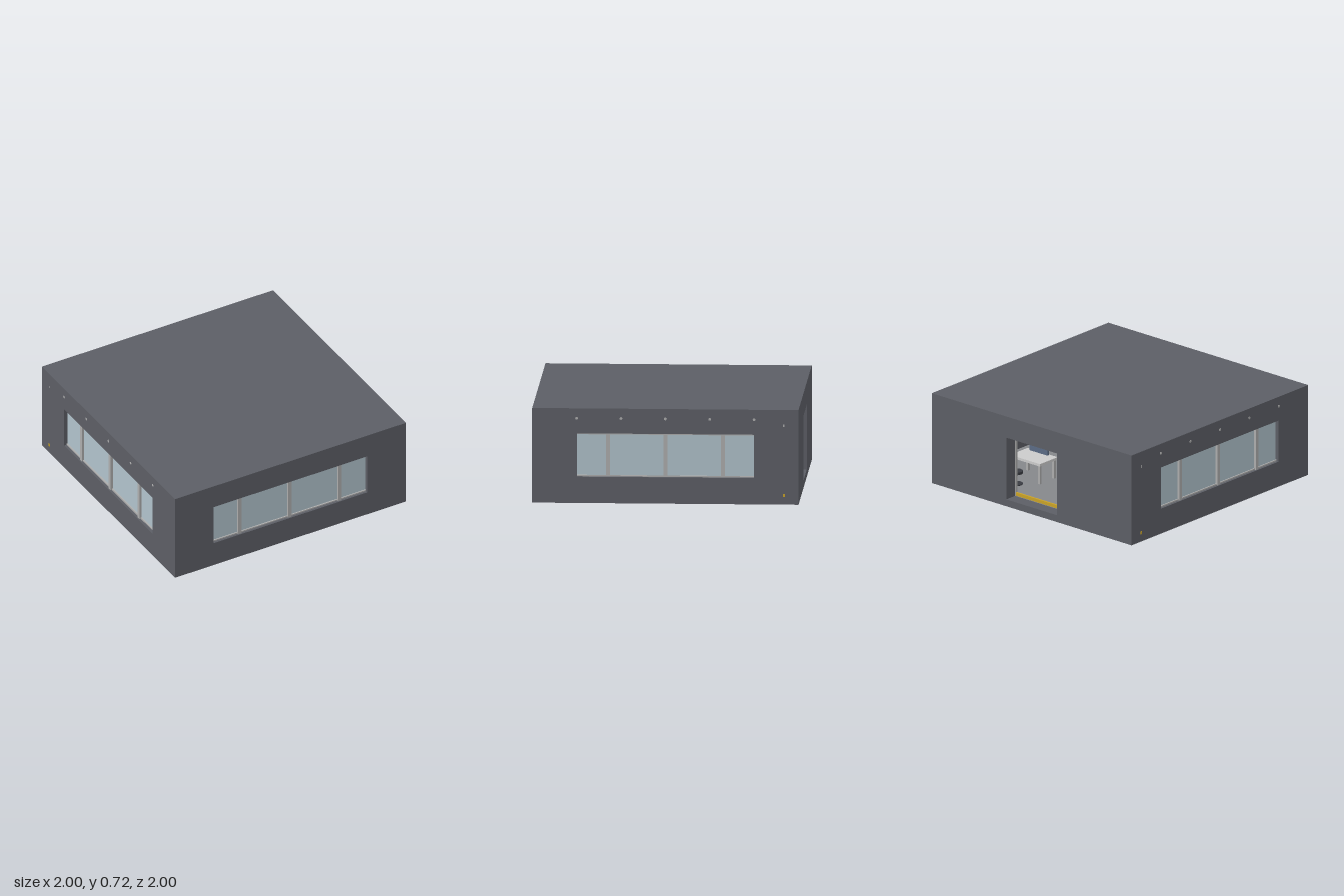
import * as THREE from 'three';

const mat = (color) => new THREE.MeshStandardMaterial({ color, flatShading: true });
const shellMat = mat(0x5c5e65), floorMat = mat(0x85878b), glassMat = mat(0xb0c2cb);
const trimMat = mat(0xadadad), yellowMat = mat(0xc9a227), blueMat = mat(0x5a6b85);
const darkMat = mat(0x3a3c42), lightMat = mat(0xd8d8d8);

function add(parent, name, geometry, material, x = 0, y = 0, z = 0) {
  const mesh = new THREE.Mesh(geometry, material);
  mesh.name = name;
  mesh.position.set(x, y, z);
  parent.add(mesh);
  return mesh;
}
const box = (parent, name, material, w, h, d, x, y, z) =>
  add(parent, name, new THREE.BoxGeometry(w, h, d), material, x, y, z);

function rect(PathType, x0, y0, x1, y1) {
  const p = new PathType();
  p.moveTo(x0, y0);
  p.lineTo(x1, y0);
  p.lineTo(x1, y1);
  p.lineTo(x0, y1);
  p.closePath();
  return p;
}

// Wall slab facing +z with one opening, its outer face at z = 1
function wall(parent, name, width, hole) {
  const shape = rect(THREE.Shape, -width / 2, 0.05, width / 2, 0.67);
  shape.holes.push(rect(THREE.Path, ...hole));
  const geometry = new THREE.ExtrudeGeometry(shape, { depth: 0.1, bevelEnabled: false });
  add(parent, name, geometry, shellMat, 0, 0, 0.9);
}

// Wall with a long window split by three mullions
function windowWall(width) {
  const g = new THREE.Group();
  g.name = 'windowWall';
  wall(g, 'wall', width, [-0.665, 0.2, 0.665, 0.53]);
  box(g, 'windowGlass', glassMat, 1.33, 0.33, 0.02, 0, 0.365, 0.96);
  for (const x of [-0.433, 0, 0.433]) box(g, 'mullion', trimMat, 0.03, 0.33, 0.05, x, 0.365, 0.965);
  for (const y of [0.205, 0.525]) box(g, 'windowRail', trimMat, 1.33, 0.01, 0.04, 0, y, 0.96);
  return g;
}

// Back wall with an open doorway and an inner frame
function doorWall() {
  const g = new THREE.Group();
  g.name = 'doorWall';
  wall(g, 'wall', 2, [-0.255, 0.055, 0.255, 0.55]);
  for (const s of [-1, 1]) box(g, 'doorPost', trimMat, 0.03, 0.5, 0.02, s * 0.265, 0.3, 0.89);
  box(g, 'doorHeader', trimMat, 0.56, 0.03, 0.02, 0, 0.56, 0.89);
  return g;
}

// Desk with a screen
function desk() {
  const g = new THREE.Group();
  g.name = 'desk';
  box(g, 'deskTop', lightMat, 0.3, 0.02, 0.2, 0, 0.21, 0);
  for (const x of [-0.13, 0.13])
    for (const z of [-0.08, 0.08]) box(g, 'deskLeg', trimMat, 0.02, 0.15, 0.02, x, 0.125, z);
  box(g, 'screen', blueMat, 0.18, 0.1, 0.015, 0, 0.28, 0.06);
  return g;
}

// Swivel chair
function chair() {
  const g = new THREE.Group();
  g.name = 'chair';
  add(g, 'chairBase', new THREE.CylinderGeometry(0.05, 0.05, 0.01, 16), darkMat, 0, 0.055, 0);
  add(g, 'chairStem', new THREE.CylinderGeometry(0.01, 0.01, 0.09, 10), trimMat, 0, 0.1, 0);
  add(g, 'chairSeat', new THREE.CylinderGeometry(0.05, 0.05, 0.02, 16), darkMat, 0, 0.15, 0);
  box(g, 'chairBack', blueMat, 0.09, 0.1, 0.015, 0, 0.21, -0.045);
  return g;
}

export function createModel() {
  const model = new THREE.Group();
  model.name = 'room';

  // Shell: floor slab, roof and four walls
  box(model, 'floorSlab', shellMat, 2, 0.05, 2, 0, 0.025, 0);
  box(model, 'floor', floorMat, 1.8, 0.004, 1.8, 0, 0.051, 0);
  box(model, 'roof', shellMat, 2, 0.05, 2, 0, 0.695, 0);
  model.add(windowWall(2));
  for (const s of [-1, 1]) {
    const side = windowWall(1.8);
    side.rotation.y = s * Math.PI / 2;
    model.add(side);
  }
  const back = doorWall();
  back.rotation.y = Math.PI;
  model.add(back);

  // Ceiling pipes whose ends just show on the side walls
  const pipe = new THREE.CylinderGeometry(0.011, 0.011, 2.004, 10).rotateZ(Math.PI / 2);
  for (let i = -2; i <= 2; i++) add(model, 'ceilingPipe', pipe, trimMat, 0, 0.645, i / 3);

  // Rails along the inside of the back wall
  box(model, 'upperRail', trimMat, 2.002, 0.02, 0.01, 0, 0.6, -0.89);
  box(model, 'thresholdRail', yellowMat, 2.002, 0.025, 0.015, 0, 0.07, -0.89);

  // Ceiling lights between the pipes
  for (const x of [-0.5, 0, 0.5])
    for (const z of [-0.5, 0.5]) box(model, 'ceilingLight', lightMat, 0.24, 0.01, 0.14, x, 0.662, z);

  // Work places
  for (const s of [-1, 1]) {
    for (const z of [-0.5, 0.3]) {
      const d = desk(), c = chair();
      d.position.set(s * 0.42, 0, z);
      c.position.set(s * 0.42, 0, z - 0.2);
      model.add(d, c);
    }
  }
  return model;
}
